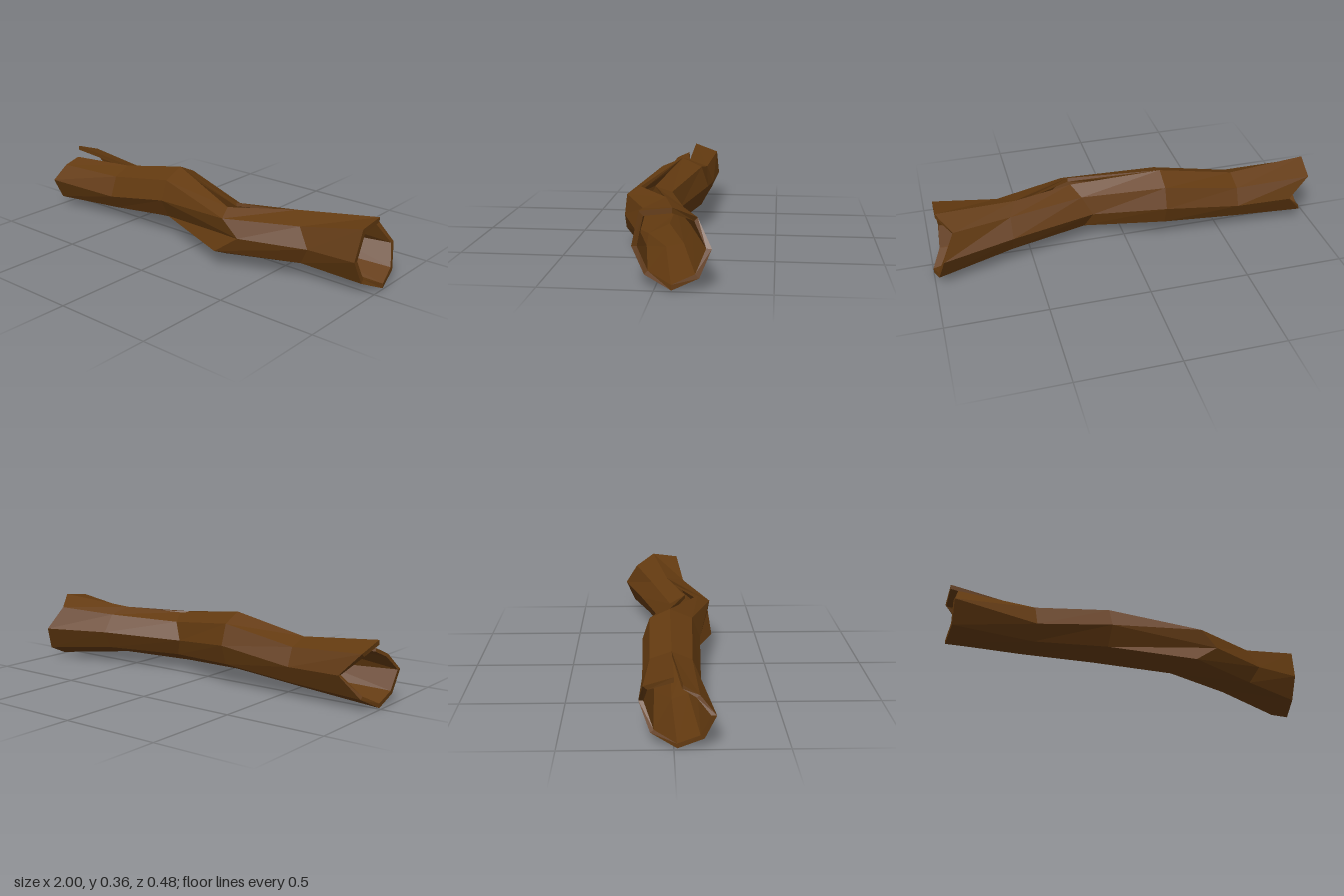
import * as THREE from 'three';

// Each section runs from the back lip of the top crack, round the back,
// bottom and front, to the front lip. Points are [z, y]; dx shifts points along x.
const SECTIONS = [
  { x: -0.98, dx: [0, 0.015, 0.12, 0.03, -0.005, -0.01, -0.02, 0.01, 0.035],
    p: [[0, 0.325], [-0.13, 0.28], [-0.15, 0.17], [-0.1, 0.06], [0.015, 0.003], [0.13, 0.05], [0.18, 0.16], [0.11, 0.24], [0.04, 0.275]] },
  { x: -0.58,
    p: [[0, 0.29], [-0.1, 0.255], [-0.135, 0.165], [-0.095, 0.08], [0, 0.04], [0.09, 0.07], [0.135, 0.145], [0.095, 0.25], [0, 0.29]] },
  { x: -0.19,
    p: [[0, 0.367], [-0.1, 0.32], [-0.135, 0.215], [-0.1, 0.115], [0, 0.073], [0.1, 0.12], [0.15, 0.22], [0.11, 0.32], [0, 0.367]] },
  { x: 0.26, dx: [0, -0.04, -0.09, -0.05, -0.03, -0.02, 0.11, 0.02, 0],
    p: [[0.09, 0.3], [0.01, 0.265], [-0.025, 0.175], [0.01, 0.09], [0.13, 0.035], [0.236, 0.085], [0.222, 0.18], [0.225, 0.262], [0.16, 0.297]] },
  { x: 0.6, dx: [-0.04, 0, 0, 0, -0.04, 0.05, 0.1, 0.04, -0.04],
    p: [[0, 0.311], [-0.085, 0.275], [-0.145, 0.185], [-0.1, 0.095], [0, 0.06], [0.09, 0.09], [0.115, 0.18], [0.095, 0.275], [0, 0.311]] },
  { x: 0.95, dx: [0.01, -0.06, 0, 0.03, 0.05, 0.005, -0.005, 0.01, 0.01],
    p: [[-0.075, 0.352], [-0.175, 0.297], [-0.24, 0.178], [-0.19, 0.058], [-0.075, 0.008], [0.045, 0.06], [0.1, 0.18], [0.065, 0.335], [-0.075, 0.352]] },
];
const WALL = 0.86; // bore size as a share of the outer size

function ring({ x, dx, p }, scale) {
  const loop = p.slice(0, 8);
  const cz = loop.reduce((s, q) => s + q[0], 0) / 8;
  const cy = loop.reduce((s, q) => s + q[1], 0) / 8;
  return p.map(([z, y], j) => [
    x + (dx ? dx[j] : 0), cy + (y - cy) * scale, cz + (z - cz) * scale]);
}

// Flat-shaded mesh from a list of four-cornered faces
function quadMesh(name, quads, material) {
  const pos = [];
  for (const [a, b, c, d] of quads) pos.push(...a, ...b, ...c, ...a, ...c, ...d);
  const geo = new THREE.BufferGeometry();
  geo.setAttribute('position', new THREE.Float32BufferAttribute(pos, 3));
  geo.computeVertexNormals();
  const mesh = new THREE.Mesh(geo, material);
  mesh.name = name;
  return mesh;
}

export function createModel() {
  const bark = new THREE.MeshStandardMaterial({ color: 0x633a10 });
  bark.name = 'brown bark';
  const outer = SECTIONS.map((s) => ring(s, 1));
  const inner = SECTIONS.map((s) => ring(s, WALL));
  const last = SECTIONS.length - 1;
  const shell = [], bore = [], rims = [], lips = [];

  // Outer shell and hollow inside
  for (let i = 0; i < last; i++) {
    for (let j = 0; j < 8; j++) {
      shell.push([outer[i][j], outer[i + 1][j], outer[i + 1][j + 1], outer[i][j + 1]]);
      bore.push([inner[i][j], inner[i][j + 1], inner[i + 1][j + 1], inner[i + 1][j]]);
    }
  }

  // Broken end rims
  for (let j = 0; j < 8; j++) {
    rims.push([outer[0][j], outer[0][j + 1], inner[0][j + 1], inner[0][j]]);
    rims.push([outer[last][j], inner[last][j], inner[last][j + 1], outer[last][j + 1]]);
  }

  // Thickness of the two cracks along the top
  for (const i of [0, 2, 3]) {
    lips.push([outer[i][0], inner[i][0], inner[i + 1][0], outer[i + 1][0]]);
    lips.push([outer[i][8], outer[i + 1][8], inner[i + 1][8], inner[i][8]]);
  }

  const log = new THREE.Group();
  log.name = 'hollowLog';
  log.add(
    quadMesh('outerBark', shell, bark),
    quadMesh('hollowInside', bore, bark),
    quadMesh('endRims', rims, bark),
    quadMesh('crackEdges', lips, bark),
  );
  return log;
}
